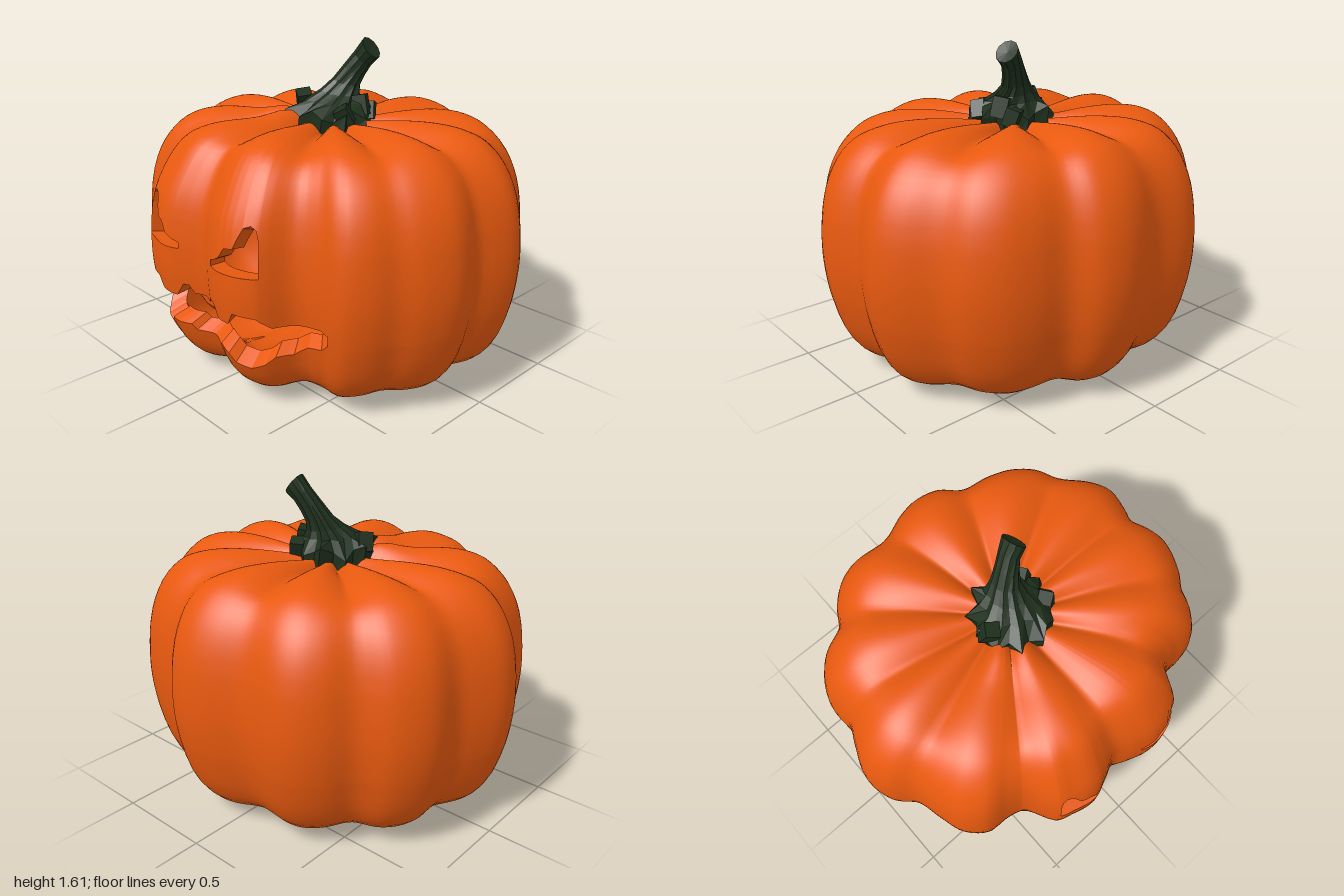
import * as THREE from 'three';

const orange = new THREE.MeshStandardMaterial({ color: 0xe8590f });
const green = new THREE.MeshStandardMaterial({ color: 0x1e2f1c, flatShading: true, side: THREE.DoubleSide });
const { smoothstep } = THREE.MathUtils;

// Piecewise linear lookup in sorted [x, y] pairs, clamped at the ends
function lookup(pts, x) {
  if (x <= pts[0][0]) return pts[0][1];
  for (let i = 1; i < pts.length; i++) {
    const [x0, y0] = pts[i - 1], [x1, y1] = pts[i];
    if (x <= x1) return y0 + (y1 - y0) * (x - x0) / (x1 - x0 || 1);
  }
  return pts[pts.length - 1][1];
}
function bisect(fn, target, lo, hi) {
  for (let i = 0; i < 40; i++) {
    const mid = (lo + hi) / 2;
    if (fn(mid) < target) lo = mid; else hi = mid;
  }
  return (lo + hi) / 2;
}

// Widest outline seen from above (x, z), lobe by lobe
const outline = new THREE.CatmullRomCurve3([
  [0, .83], [.1, .87], [.22, .905], [.34, .885], [.41, .84], [.49, .7], [.6, .66], [.73, .65], [.82, .56], [.87, .45],
  [.94, .36], [1, .2], [.985, .1], [.95, 0], [.98, -.1], [1, -.22], [.95, -.33], [.83, -.47], [.77, -.6], [.66, -.7],
  [.52, -.755], [.36, -.785], [.25, -.88], [.12, -.913], [0, -.895], [-.17, -.83], [-.38, -.835], [-.48, -.8],
  [-.57, -.72], [-.65, -.6], [-.8, -.52], [-.9, -.37], [-.905, -.18], [-.95, -.08], [-1, .06], [-.97, .2], [-.88, .3],
  [-.84, .45], [-.8, .57], [-.7, .66], [-.58, .67], [-.49, .7], [-.4, .85], [-.32, .88], [-.2, .905], [-.1, .87],
].map(([x, z]) => new THREE.Vector3(x, 0, z)), true);
const polar = [];
for (let i = 0; i < 400; i++) {
  const p = outline.getPoint(i / 400), a = Math.atan2(p.x, p.z), r = Math.hypot(p.x, p.z);
  for (const k of [-1, 0, 1]) polar.push([a + k * Math.PI * 2, r]);
}
polar.sort((a, b) => a[0] - b[0]);
const radiusAt = (a) => lookup(polar, a);

// Meridian: share of the radius against height, from bottom dimple to top dimple
const meridian = new THREE.SplineCurve([
  [0, .1], [.15, .06], [.35, .015], [.52, 0], [.68, .02], [.81, .08], [.91, .2], [.975, .4], [1, .63], [.975, .88],
  [.91, 1.05], [.81, 1.165], [.7, 1.22], [.57, 1.24], [.4, 1.235], [.2, 1.21], [0, 1.18],
].map(([x, y]) => new THREE.Vector2(x, y)));
const levelOf = (y) => bisect((s) => meridian.getPoint(s).y, y, 3 / 16, 13 / 16);

// Creases between the lobes
const grooves = [-101, -71, -35.5, 0, 35, 63, 90, 119.5, 155, 191.6, 227, 259].map((d) => d * Math.PI / 180);
function creaseAt(a) {
  if (a < grooves[0]) a += Math.PI * 2;
  for (let i = 1; i < grooves.length; i++)
    if (a <= grooves[i]) return 1 - Math.sin(Math.PI * (a - grooves[i - 1]) / (grooves[i] - grooves[i - 1]));
  return 1;
}

function skinPoint(a, s) {
  const m = meridian.getPoint(s), f = Math.max(m.x, 0);
  // The forehead above the eyes is slightly flattened
  const forehead = .022 * smoothstep(Math.cos(a), .84, .94) * Math.exp(-(((m.y - 1.08) / .12) ** 2));
  const r = radiusAt(a) * f * (1 - forehead), x = r * Math.sin(a), z = r * Math.cos(a);
  // Creases are sharp on top and rounded underneath
  const rim = smoothstep(.92 - f, 0, .3), c = creaseAt(a);
  let y = m.y;
  if (s > .5) y -= .055 * c * rim * smoothstep(f, 0, .25);
  else y += .035 * c * (2 - c) * rim * smoothstep(f, .1, .45);
  // Swelling in front of the stem
  if (s > .7) y += .06 * Math.exp(-((x + .13) ** 2 + (z - .19) ** 2) / .015);
  return new THREE.Vector3(x, y, z);
}
const innerPoint = (p) => new THREE.Vector3(p.x * .9, .62 + (p.y - .62) * .88, p.z * .9);

// Carved openings, each as an upper and a lower edge over x
const mouthTop = [[-.62, .45], [-.58, .465], [-.45, .46], [-.4, .51], [-.3, .505], [-.26, .46], [-.15, .455],
  [-.11, .52], [-.08, .52], [-.06, .48], [.06, .48], [.1, .515], [.15, .51], [.18, .46], [.26, .46], [.29, .52],
  [.39, .515], [.43, .46], [.6, .465], [.64, .45]];
const mouthLow = [[-.62, .4], [-.6, .36], [-.5, .335], [-.44, .32], [-.42, .28], [-.39, .25], [-.34, .235],
  [-.3, .25], [-.26, .29], [-.12, .295], [-.1, .265], [.1, .265], [.13, .29], [.21, .275], [.25, .235], [.34, .23],
  [.4, .26], [.43, .3], [.47, .3], [.53, .35], [.6, .36], [.64, .4]];
const eye = [[.14, .73], [.18, .745], [.215, .765], [.25, .815], [.3, .825], [.32, .87], [.345, .92], [.375, .932],
  [.395, .915], [.405, .86]];
const eyeTop = [...eye.map(([x, y]) => [.02 - x, y]).reverse(), ...eye];
const eyeLow = [[-.385, .705], [-.12, .7], [.14, .7], [.405, .705]];

function buildShell(group) {
  const angleOf = (x) => bisect((a) => radiusAt(a) * .98 * Math.sin(a), x, -1.2, 1.2);
  const toAngles = (pts) => pts.map(([x, y]) => [angleOf(x), levelOf(y)]);
  const [mt, ml, et, el] = [mouthTop, mouthLow, eyeTop, eyeLow].map(toAngles);

  // Columns: every corner of a carving, then an even fill
  const angles = [];
  const add = (a, gap) => { if (angles.every((b) => Math.abs(a - b) > gap)) angles.push(a); };
  for (const edge of [el, et, mt, ml]) for (const [a] of edge) add(a, .002);
  for (let i = -90; i < 90; i++) add(i * Math.PI / 90, .01);
  angles.sort((a, b) => a - b);
  const n = angles.length;

  // Rows: five bands, of which the second and fourth hold the openings
  const bands = [18, 4, 6, 4, 24];
  const bandOfRow = bands.flatMap((c, b) => Array(c).fill(b));
  const rows = bandOfRow.length;
  const outer = angles.map((a) => {
    const stops = [0, lookup(ml, a), lookup(mt, a), lookup(el, a), lookup(et, a), 1];
    const col = [];
    bands.forEach((c, b) => {
      for (let k = 0; k < c; k++) col.push(skinPoint(a, stops[b] + (stops[b + 1] - stops[b]) * k / c));
    });
    col.push(skinPoint(a, 1));
    return col;
  });
  const within = (a, lo, hi) => a > lo && a < hi;
  const isOpen = (i, j) => {
    i = (i + n) % n;
    if (i === n - 1) return false;
    const a = (angles[i] + angles[i + 1]) / 2, b = bandOfRow[j];
    if (b === 1) return within(a, mt[0][0], mt[mt.length - 1][0]);
    return b === 3 && (within(a, el[0][0], el[1][0]) || within(a, el[2][0], el[3][0]));
  };

  const skin = [], lining = [], outerPos = [], innerPos = [], wall = [];
  for (const col of outer) for (const p of col) {
    outerPos.push(...p.toArray());
    innerPos.push(...innerPoint(p).toArray());
  }
  for (let i = 0; i < n; i++) for (let j = 0; j < rows; j++) {
    const i1 = (i + 1) % n;
    const corners = [[i, j], [i1, j], [i1, j + 1], [i, j + 1]];
    if (!isOpen(i, j)) {
      const [a, b, c, d] = corners.map(([u, v]) => u * (rows + 1) + v);
      skin.push(a, b, c, a, c, d);
      lining.push(a, c, b, a, d, c);
      continue;
    }
    // Cut faces through the thickness of the shell
    [[i, j - 1], [i + 1, j], [i, j + 1], [i - 1, j]].forEach(([u, v], k) => {
      if (isOpen(u, v)) return;
      const [p, q] = [corners[k], corners[(k + 1) % 4]].map(([cu, cv]) => outer[cu][cv]);
      const pi = innerPoint(p), qi = innerPoint(q);
      for (const w of [p, q, qi, p, qi, pi]) wall.push(...w.toArray());
    });
  }
  const addMesh = (name, pos, index) => {
    const g = new THREE.BufferGeometry();
    g.setAttribute('position', new THREE.Float32BufferAttribute(pos, 3));
    if (index) g.setIndex(index);
    g.computeVertexNormals();
    const mesh = new THREE.Mesh(g, orange);
    mesh.name = name;
    group.add(mesh);
  };
  addMesh('skin', outerPos, skin);
  addMesh('innerLining', innerPos, lining);
  addMesh('carvedEdges', wall);
}

// Ridged, twisting stem lofted through star-shaped rings: x, y, z, radius, tilt
function buildStem() {
  const rings = [[.01, 1.16, .03, .2, 0], [.01, 1.25, .03, .2, 0], [.025, 1.3, .005, .135, .05],
    [.035, 1.34, -.025, .095, .15], [.05, 1.39, -.055, .068, .3], [.08, 1.45, -.08, .057, .55],
    [.115, 1.51, -.105, .053, .8], [.155, 1.56, -.12, .06, 1]];
  const up = new THREE.Vector3(0, 1, 0), tip = new THREE.Vector3(.75, .6, -.2).normalize();
  const sides = 22, pos = [], index = [];
  rings.forEach(([x, y, z, r, tilt], k) => {
    const q = new THREE.Quaternion().setFromUnitVectors(up, up.clone().lerp(tip, tilt).normalize());
    const depth = .13 * (1 - k / 9);
    for (let i = 0; i < sides; i++) {
      const a = i / sides * Math.PI * 2 + k * .06;
      const rr = r * (1 + (i % 2 ? -depth : depth * .6) + .07 * Math.sin(i * 2.3) * (1 - k / 7));
      const lift = k === 1 ? .03 * Math.sin(i * 1.7) : 0;
      const p = new THREE.Vector3(rr * Math.sin(a), lift, rr * Math.cos(a)).applyQuaternion(q);
      pos.push(p.x + x, p.y + y, p.z + z);
      if (k === rings.length - 1) continue;
      const i1 = (i + 1) % sides, b = k * sides, t = b + sides;
      index.push(b + i, b + i1, t + i1, b + i, t + i1, t + i);
    }
  });
  // Cut end
  const last = (rings.length - 1) * sides, centre = pos.length / 3;
  pos.push(.15, 1.555, -.118);
  for (let i = 0; i < sides; i++) index.push(last + i, last + (i + 1) % sides, centre);
  const g = new THREE.BufferGeometry();
  g.setAttribute('position', new THREE.Float32BufferAttribute(pos, 3));
  g.setIndex(index);
  g.computeVertexNormals();
  const stem = new THREE.Group();
  stem.name = 'stem';
  const stalk = new THREE.Mesh(g, green);
  stalk.name = 'stalk';
  stem.add(stalk);
  // Angular woody toes around the foot: x, y, z, size
  for (const [x, y, z, s] of [[.17, 1.25, .08, .07], [.14, 1.28, -.06, .08], [-.15, 1.28, .05, .075], [.13, 1.24, -.13, .07]]) {
    const toe = new THREE.Mesh(new THREE.BoxGeometry(s, s * 1.3, s), green);
    toe.name = 'toe';
    toe.position.set(x, y, z);
    toe.rotation.set(z * 3, x * 4, x * 2);
    stem.add(toe);
  }
  return stem;
}

export function createModel() {
  const model = new THREE.Group();
  model.name = 'carvedPumpkin';
  const shell = new THREE.Group();
  shell.name = 'shell';
  buildShell(shell);
  model.add(shell, buildStem());
  return model;
}
